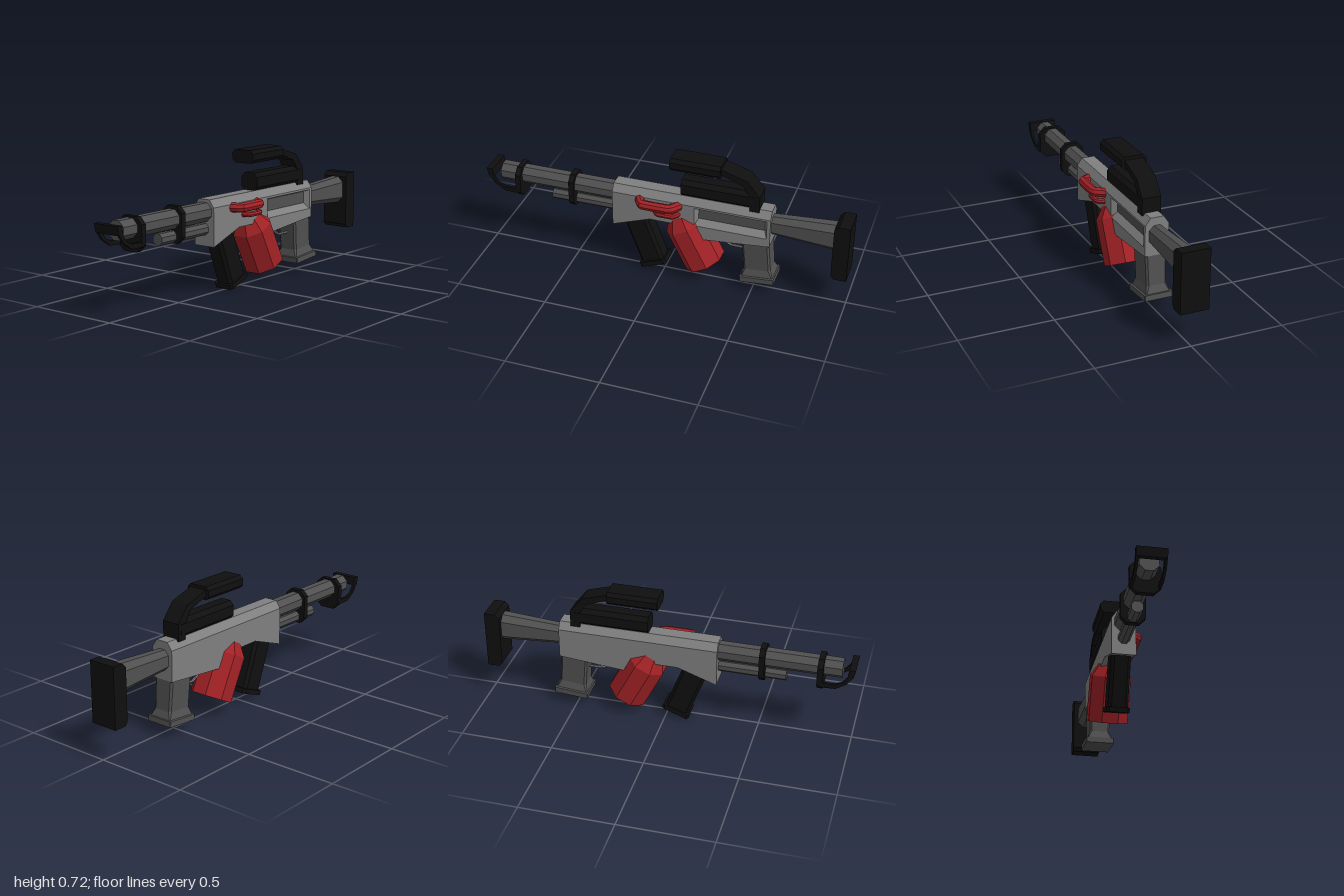
import * as THREE from 'three';

const mat = (name, color) => {
  const m = new THREE.MeshStandardMaterial({ color });
  m.name = name;
  return m;
};

export function createModel() {
  const black = mat('black', 0x0f0f0f);
  const red = mat('red', 0xa32226);
  const grey = mat('bodyGrey', 0x808080);
  const dark = mat('darkGrey', 0x505050);

  const model = new THREE.Group();
  model.name = 'blaster';
  model.position.z = -0.014;

  // adds a mesh with flat facets
  function add(name, geo, material, x = 0, y = 0, tilt = 0) {
    const g = geo.index ? geo.toNonIndexed() : geo;
    g.computeVertexNormals();
    const mesh = new THREE.Mesh(g, material);
    mesh.name = name;
    mesh.position.set(x, y, 0);
    mesh.rotation.z = tilt;
    model.add(mesh);
    return mesh;
  }

  // skin between equal-length rings, with fan caps
  function loft(rings, capStart = true, capEnd = true) {
    const n = rings[0].length, pos = rings.flat(2), idx = [];
    for (let r = 0; r < rings.length - 1; r++) {
      for (let i = 0; i < n; i++) {
        const a = r * n + i, b = r * n + (i + 1) % n;
        idx.push(a, b, b + n, a, b + n, a + n);
      }
    }
    const last = (rings.length - 1) * n;
    for (let i = 1; i < n - 1; i++) {
      if (capStart) idx.push(0, i + 1, i);
      if (capEnd) idx.push(last, last + i, last + i + 1);
    }
    const g = new THREE.BufferGeometry();
    g.setAttribute('position', new THREE.Float32BufferAttribute(pos, 3));
    g.setIndex(idx);
    return g;
  }

  // stack of corner-cut rectangles along y: [y, halfX, halfZ, cut]
  const stack = (levels) => loft(levels.map(([y, a, b, c]) => [
    [-a + c, y, b], [a - c, y, b], [a, y, b - c], [a, y, -b + c],
    [a - c, y, -b], [-a + c, y, -b], [-a, y, -b + c], [-a, y, b - c],
  ]));

  // stack laid along x, between x0 and x1
  const bar = (name, material, x0, x1, y, halfY, halfZ, cut) =>
    add(name, stack([[0, halfY, halfZ, cut], [x1 - x0, halfY, halfZ, cut]]), material, x0, y, -Math.PI / 2);

  const outline = (pts) => new THREE.Shape(pts.map(([x, y]) => new THREE.Vector2(x, y)));
  function plate(name, material, shape, z0, z1) {
    const g = new THREE.ExtrudeGeometry(shape, { depth: z1 - z0, bevelEnabled: false });
    return add(name, g.translate(0, 0, z0), material);
  }

  function pipe(name, material, pts, radius, sides = 8) {
    const path = new THREE.CurvePath();
    const v = pts.map((p) => new THREE.Vector3(...p));
    const curve = new THREE.CatmullRomCurve3(v, false, 'catmullrom', 0.15);
    add(name, new THREE.TubeGeometry(curve, 18, radius, sides), material);
    return path;
  }

  // receiver body, with a recess in the front side
  const profile = [[-0.28, 0.46], [-0.28, 0.255], [-0.07, 0.33], [0.07, 0.33],
    [0.22, 0.262], [0.585, 0.295], [0.585, 0.46]];
  plate('bodyBack', grey, outline(profile), -0.064, 0.02);
  const rect = (x0, y0, x1, y1, z) => [[x0, y0, z], [x1, y0, z], [x1, y1, z], [x0, y1, z]];
  const rim = rect(0.176, 0.342, 0.567, 0.449, 0.064);
  const floor = rect(0.192, 0.374, 0.55, 0.438, 0.034);
  const front = outline(profile);
  front.holes.push(new THREE.Path(rim.map(([x, y]) => new THREE.Vector2(x, y))));
  plate('bodyFront', grey, front, 0.02, 0.064);
  add('recessWalls', loft([rim, floor], false, false), grey);
  add('recessFloor', new THREE.BoxGeometry(0.36, 0.066, 0.006), dark, 0.371, 0.406).position.z = 0.031;

  // sloped top of the body
  const ridge = (x) => [[x, 0.46, 0.064], [x, 0.46, -0.064], [x, 0.5, -0.036], [x, 0.5, 0.036]];
  add('bodyTop', loft([ridge(-0.28), ridge(0.585)]), grey);

  // barrel, lower tube and their bands
  bar('barrel', dark, -0.93, -0.27, 0.435, 0.049, 0.049, 0.029);
  bar('lowerTube', dark, -0.64, -0.27, 0.345, 0.03, 0.03, 0.0176);
  bar('frontBand', black, -0.835, -0.805, 0.405, 0.087, 0.077, 0.035);
  bar('middleBand', black, -0.53, -0.5, 0.405, 0.095, 0.064, 0.032);

  // curved muzzle bracket: two arms and a cross bar
  const arm = [[-0.995, 0.468], [-0.97, 0.468], [-0.962, 0.428], [-0.936, 0.39], [-0.898, 0.374],
    [-0.82, 0.374], [-0.82, 0.346], [-0.904, 0.35], [-0.957, 0.385], [-0.99, 0.43]];
  for (const s of [-1, 1]) plate('bracketArm', black, outline(arm), s * 0.069 - 0.007, s * 0.069 + 0.007);
  plate('bracketCrossBar', black,
    outline([[-1, 0.472], [-0.967, 0.472], [-0.96, 0.428], [-0.99, 0.425]]), -0.076, 0.076);

  // front grip
  add('frontGrip', stack([[0, 0.077, 0.06, 0.012], [0.026, 0.077, 0.06, 0.012],
    [0.027, 0.066, 0.052, 0.016], [0.33, 0.066, 0.052, 0.016]]), black, -0.053, 0.028, 0.365);

  // red canister with a tapered neck
  add('canister', stack([[0, 0.105, 0.105, 0.0615], [0.244, 0.105, 0.105, 0.0615],
    [0.32, 0.058, 0.058, 0.034]]), red, 0.222, 0.088, 0.471);

  // red side rails on the front side
  pipe('upperRail', red, [[-0.13, 0.442, 0.05], [-0.1, 0.442, 0.104], [0.05, 0.442, 0.104], [0.09, 0.442, 0.05]], 0.026);
  pipe('lowerRail', red, [[-0.04, 0.394, 0.05], [-0.02, 0.394, 0.094], [0.07, 0.394, 0.094], [0.09, 0.394, 0.05]], 0.015);

  // top bars and bent carrying arm
  bar('lowerTopBar', black, 0.096, 0.5, 0.545, 0.049, 0.052, 0.022);
  bar('upperTopBar', black, 0.04, 0.312, 0.687, 0.035, 0.068, 0.018);
  plate('carryArm', black, outline([[0.3, 0.705], [0.31, 0.705], [0.45, 0.663], [0.52, 0.578], [0.52, 0.487],
    [0.468, 0.487], [0.468, 0.572], [0.428, 0.631], [0.31, 0.674], [0.3, 0.674]]), -0.051, 0.051);

  // rear grip with flared foot
  add('rearGrip', stack([[0, 0.093, 0.077, 0.003], [0.03, 0.093, 0.077, 0.003], [0.032, 0.086, 0.066, 0.005],
    [0.07, 0.073, 0.054, 0.01], [0.27, 0.073, 0.058, 0.01]]), dark, 0.5275, 0.0575, 0.085);

  // trigger guard and trigger
  pipe('triggerGuard', grey, [[0.295, 0.285], [0.325, 0.24], [0.365, 0.22], [0.46, 0.218]].map((p) => [...p, 0]), 0.007, 6);
  pipe('trigger', grey, [[0.385, 0.29, 0], [0.375, 0.265, 0], [0.385, 0.242, 0]], 0.007, 6);

  // stock and butt plate
  add('stock', stack([[0, 0.053, 0.042, 0.025], [0.36, 0.076, 0.053, 0.031]]), dark, 0.57, 0.403, -Math.PI / 2);
  plate('buttPlate', black, outline([[1, 0.503], [0.94, 0.503], [0.917, 0.48], [0.917, 0.2], [0.935, 0.18], [1, 0.18]]),
    -0.077, 0.077);

  return model;
}
